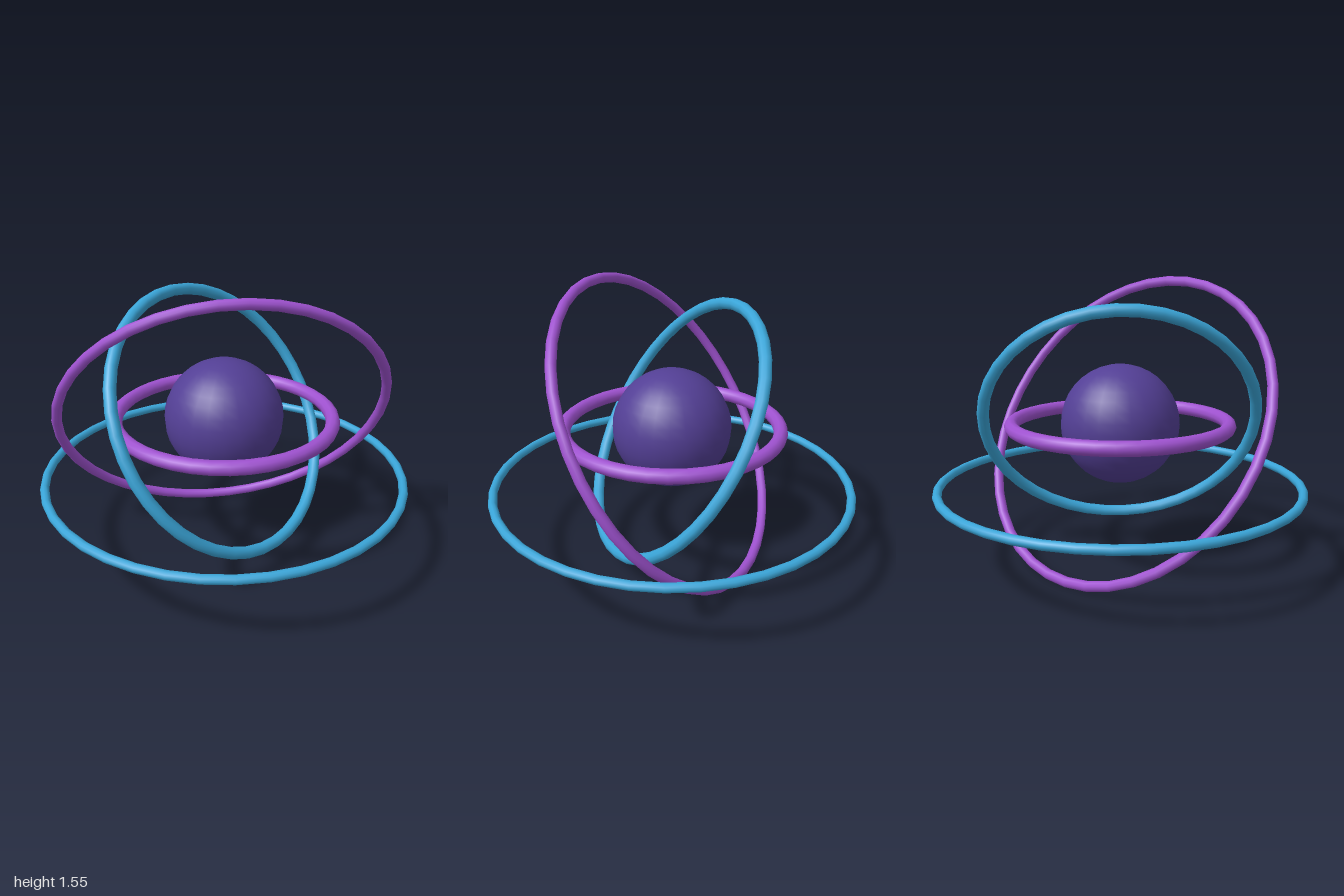
import * as THREE from 'three';

export function createModel() {
  const model = new THREE.Group();
  const material = (name, color) => {
    const m = new THREE.MeshStandardMaterial({ color });
    m.name = name;
    return m;
  };
  const indigo = material('indigo', 0x533f95);
  const violet = material('violet', 0x9f52d0);
  const blue = material('sky blue', 0x3aa5d8);
  const centre = 0.782;

  // Central sphere
  const core = new THREE.Mesh(new THREE.SphereGeometry(0.32, 24, 18), indigo);
  core.name = 'coreSphere';
  core.position.y = centre;
  model.add(core);

  // Rings: tilt about x, then swing about y
  const addRing = (name, mat, radius, tube, y, tilt, swing) => {
    const ring = new THREE.Mesh(new THREE.TorusGeometry(radius, tube, 10, 40), mat);
    ring.name = name;
    ring.position.y = y;
    ring.rotation.set(tilt, swing, 0);
    model.add(ring);
  };
  addRing('equatorRing', violet, 0.581, 0.038, centre, Math.PI / 2, 0);
  addRing('innerOrbitRing', blue, 0.731, 0.032, centre, -0.588, 0.325);
  addRing('outerOrbitRing', violet, 0.88, 0.027, centre, 0.588, -0.325);
  addRing('baseRing', blue, 0.976, 0.024, 0.447, Math.PI / 2, 0);

  return model;
}
